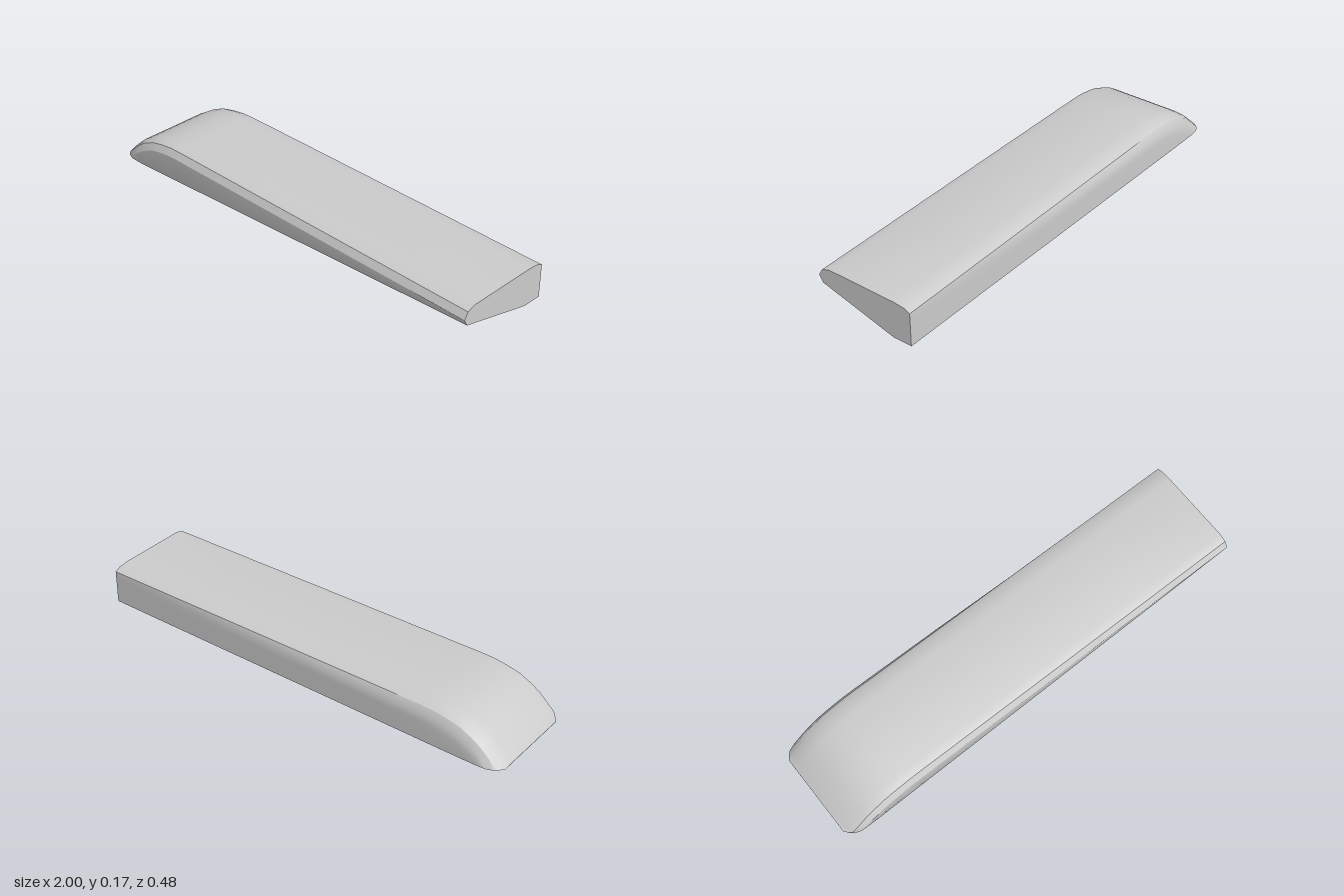
import * as THREE from 'three';
import { toCreasedNormals } from 'three/addons/utils/BufferGeometryUtils.js';

const H = 0.17;
// Stations along the bar: x, top height, half width
const stations = [
  [-1, 0.002, 0.19], [-0.985, 0.018, 0.21], [-0.97, 0.033, 0.224], [-0.94, 0.06, 0.235],
  [-0.9, 0.095, 0.239], [-0.86, 0.12, 0.24], [-0.8, 0.147, 0.24], [-0.74, 0.16, 0.24],
  [-0.68, 0.168, 0.24], [-0.62, H, 0.24], [-0.2, H, 0.24], [0.2, H, 0.24], [0.6, H, 0.24], [1, H, 0.24],
];
// Rounded shoulders: z, drop below the top
const frontShoulder = [[0.24, 0.043], [0.222, 0.013], [0.185, 0]];
const backShoulder = [[-0.14, 0], [-0.19, 0.005], [-0.217, 0.018], [-0.233, 0.045], [-0.238, 0.08]];

// Cross-section from the front underside, over the top, down the back
function section([x, h, w]) {
  const t = Math.max(0, (x + 0.87) / 1.87); // growth of the slanted underside cut
  const back = -0.239 + 0.022 * t; // back wall leans in toward the square end
  const k = 1 + 0.4 * (1 - h / H);
  const clampZ = (z) => Math.max(-w, back, Math.min(w, z));
  const shoulder = ([z, drop]) => [Math.max(0, h - drop * k), clampZ(z)];
  const side = Math.min(w, 0.236);
  return [
    [0, THREE.MathUtils.lerp(side, -0.13, t)],
    [0.095 * t, THREE.MathUtils.lerp(side, 0.223, t)],
    [0.126 * t, THREE.MathUtils.lerp(side, 0.24, t)],
    ...frontShoulder.map(shoulder),
    ...backShoulder.map(shoulder),
    [0, clampZ(-0.238)],
  ].map(([y, z]) => [x, y, z]);
}

function loft(rings) {
  const n = rings[0].length;
  const positions = rings.flat(2);
  const index = [];
  for (let i = 0; i < rings.length - 1; i++) {
    for (let j = 0; j < n; j++) {
      const a = i * n + j, b = i * n + (j + 1) % n;
      index.push(a, a + n, b, b, a + n, b + n);
    }
  }
  // End caps fan out from each section's middle
  [0, rings.length - 1].forEach((r) => {
    const centre = positions.length / 3;
    for (let c = 0; c < 3; c++) positions.push(rings[r].reduce((s, p) => s + p[c], 0) / n);
    for (let j = 0; j < n; j++) {
      const a = r * n + j, b = r * n + (j + 1) % n;
      index.push(centre, ...(r === 0 ? [a, b] : [b, a]));
    }
  });
  const geometry = new THREE.BufferGeometry();
  geometry.setAttribute('position', new THREE.Float32BufferAttribute(positions, 3));
  geometry.setIndex(index);
  return toCreasedNormals(geometry, 0.5);
}

export function createModel() {
  const group = new THREE.Group();
  group.name = 'wedgeBar';
  const body = new THREE.Mesh(
    loft(stations.map(section)),
    new THREE.MeshStandardMaterial({ color: 0xcccccc }),
  );
  body.name = 'body';
  group.add(body);
  return group;
}
